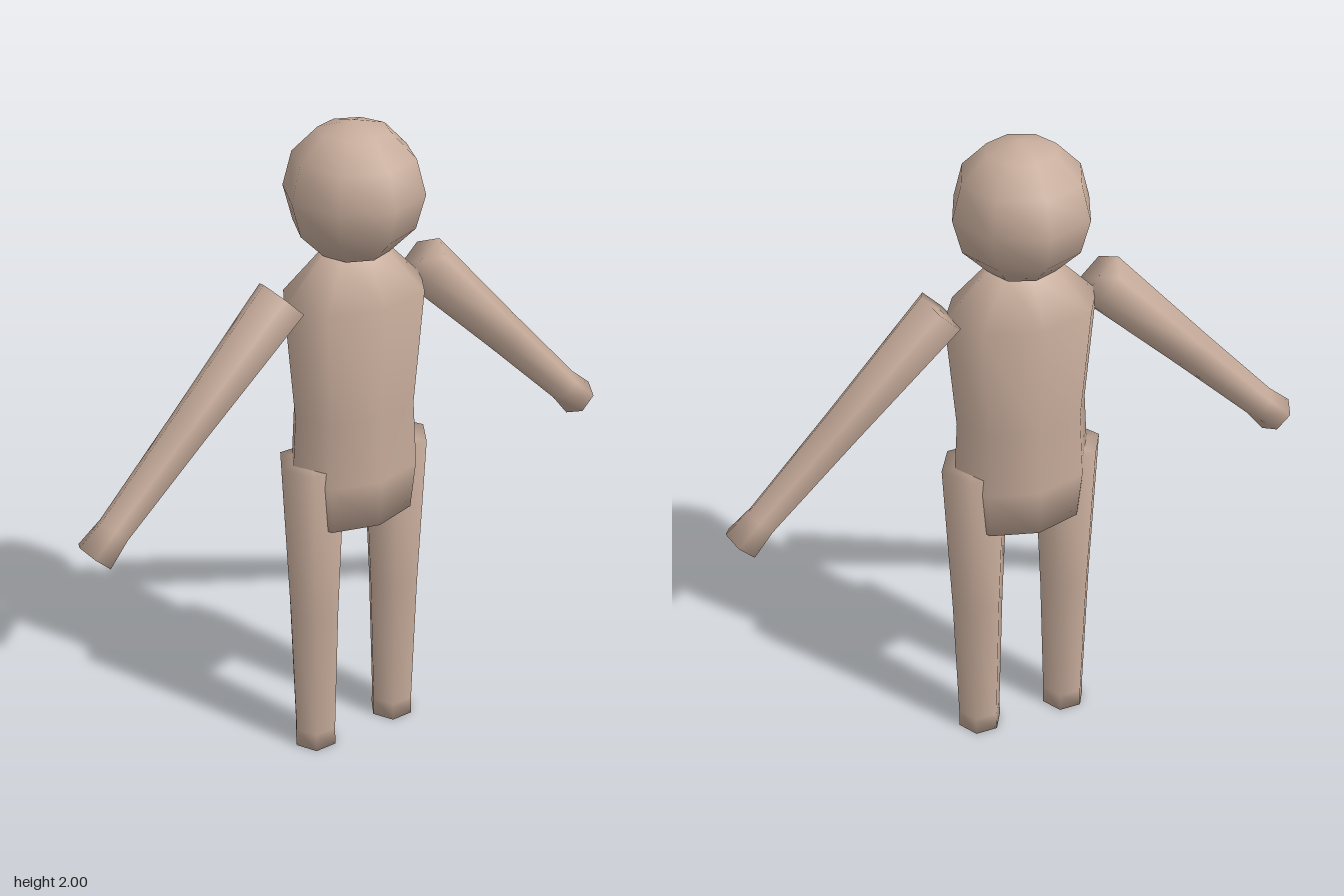
import * as THREE from 'three';

const skin = new THREE.MeshStandardMaterial({ color: 0xc8ad9c });
skin.name = 'skin';

// Closed, smooth-shaded turned shape from [radius, height] rings, bottom to top
function turned(name, rings, sides) {
  const points = [
    [0, rings[0][1]],
    ...rings,
    [0, rings[rings.length - 1][1]],
  ].map(([r, y]) => new THREE.Vector2(r, y));
  const mesh = new THREE.Mesh(new THREE.LatheGeometry(points, sides, Math.PI / 2), skin);
  mesh.name = name;
  return mesh;
}

export function createModel() {
  const model = new THREE.Group();
  model.name = 'mannequin';

  // Head
  const head = new THREE.Mesh(new THREE.SphereGeometry(0.2, 8, 6), skin);
  head.name = 'head';
  head.position.y = 1.8;
  model.add(head);

  // Torso, flattened front to back
  const torso = turned('torso', [
    [0.195, 0.8], [0.212, 0.95], [0.2, 1.15], [0.23, 1.5], [0.1, 1.63],
  ], 8);
  torso.geometry.scale(1, 1, 0.7);
  model.add(torso);

  for (const side of [1, -1]) {
    const label = side > 0 ? 'left' : 'right';

    // Arm, from the hand up to the shoulder
    const arm = turned(label + 'Arm', [
      [0.06, 0], [0.051, 0.09], [0.062, 0.44], [0.08, 0.87],
    ], 6);
    arm.position.set(side * 0.853, 0.918, 0);
    arm.rotation.z = side * Math.PI / 4;
    model.add(arm);

    // Leg
    const leg = turned(label + 'Leg', [
      [0.07, 0], [0.069, 0.06], [0.082, 0.5], [0.105, 1],
    ], 6);
    leg.position.x = side * 0.145;
    model.add(leg);
  }
  return model;
}
